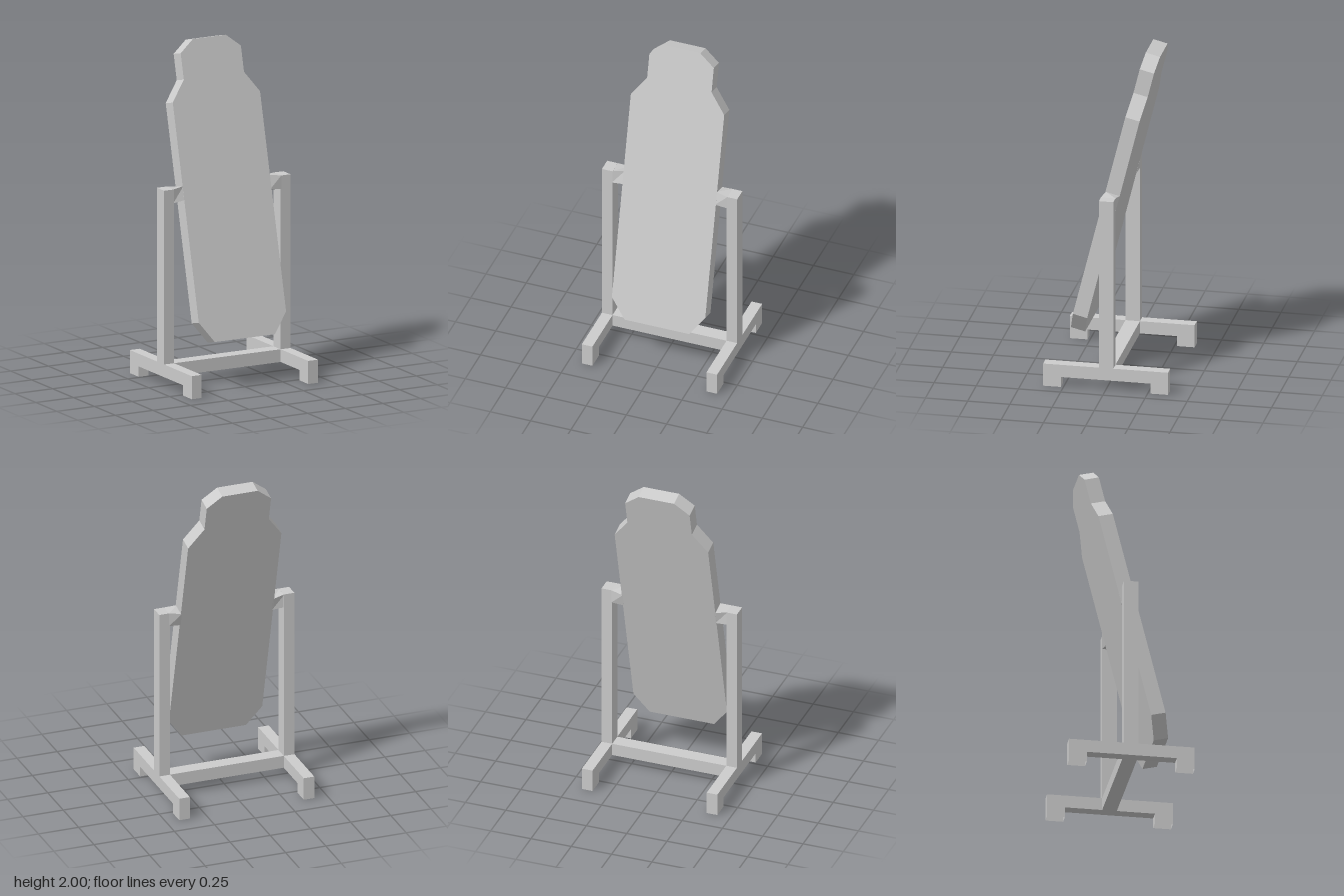
import * as THREE from 'three';

const TILT = -0.2437;             // backward lean of the mirror
const PIVOT = [0, 1.135, -0.005]; // centre of the swinging panel

const material = new THREE.MeshStandardMaterial({ color: 0xcccccc, flatShading: true });
const openMaterial = new THREE.MeshStandardMaterial({ color: 0xcccccc, flatShading: true, side: THREE.DoubleSide });

function part(name, geometry, x = 0, y = 0, z = 0, mat = material) {
  const mesh = new THREE.Mesh(geometry, mat);
  mesh.name = name;
  mesh.position.set(x, y, z);
  return mesh;
}

// Mirror panel: half outline, mirrored across x, extruded to its thickness
function panelGeometry() {
  const half = [[0.2, -0.881], [0.29, -0.758], [0.29, 0.53], [0.2, 0.654], [0.2, 0.808], [0.11, 0.881]];
  const outline = [...half, ...half.map(([x, y]) => [-x, y]).reverse()];
  const shape = new THREE.Shape(outline.map(([x, y]) => new THREE.Vector2(x, y)));
  return new THREE.ExtrudeGeometry(shape, { depth: 0.087, bevelEnabled: false }).translate(0, 0, -0.0435);
}

// Runner with a foot block at each end; the feet are open underneath
function runnerGeometry() {
  const outline = [[-0.37, 0], [-0.265, 0], [-0.265, 0.062], [0.265, 0.062], [0.265, 0], [0.37, 0], [0.37, 0.138], [-0.37, 0.138]];
  const shape = new THREE.Shape(outline.map(([z, y]) => new THREE.Vector2(z, y)));
  const geometry = new THREE.ExtrudeGeometry(shape, { depth: 0.066, bevelEnabled: false })
    .translate(0, 0, -0.033).rotateY(-Math.PI / 2);
  const p = geometry.attributes.position;
  const kept = [];
  for (let i = 0; i < p.count; i += 3) {
    const isSole = [0, 1, 2].every((k) => p.getY(i + k) < 0.001);
    if (!isSole) kept.push(i, i + 1, i + 2);
  }
  geometry.clearGroups();
  geometry.setIndex(kept);
  return geometry;
}

// Pivot arm: square at the post, twisted to the panel's lean at its inner end
function pivotGeometry(side) {
  const geometry = new THREE.BoxGeometry(0.075, 0.082, 0.086);
  const p = geometry.attributes.position;
  const v = new THREE.Vector3();
  const axis = new THREE.Vector3(1, 0, 0);
  for (let i = 0; i < p.count; i++) {
    v.fromBufferAttribute(p, i);
    if (v.x * side < 0) {
      v.applyAxisAngle(axis, TILT);
      p.setXYZ(i, v.x, v.y, v.z - 0.003);
    }
  }
  geometry.computeVertexNormals();
  return geometry;
}

export function createModel() {
  const model = new THREE.Group();
  model.name = 'standingMirror';

  const panel = part('mirrorPanel', panelGeometry(), ...PIVOT);
  panel.rotation.x = TILT;
  model.add(panel);

  // Both sides of the stand
  for (const side of [1, -1]) {
    const prefix = side > 0 ? 'left' : 'right';
    const x = side * 0.387;
    model.add(
      part(prefix + 'Post', new THREE.BoxGeometry(0.066, 1.038, 0.086), x, 0.657, -0.003),
      part(prefix + 'Runner', runnerGeometry(), x, 0, 0, openMaterial),
      part(prefix + 'Pivot', pivotGeometry(side), side * 0.3215, 1.135, -0.003),
    );
  }

  // Crossbar joining the two runners
  model.add(part('crossbar', new THREE.BoxGeometry(0.708, 0.076, 0.086), 0, 0.1, -0.003));
  return model;
}
